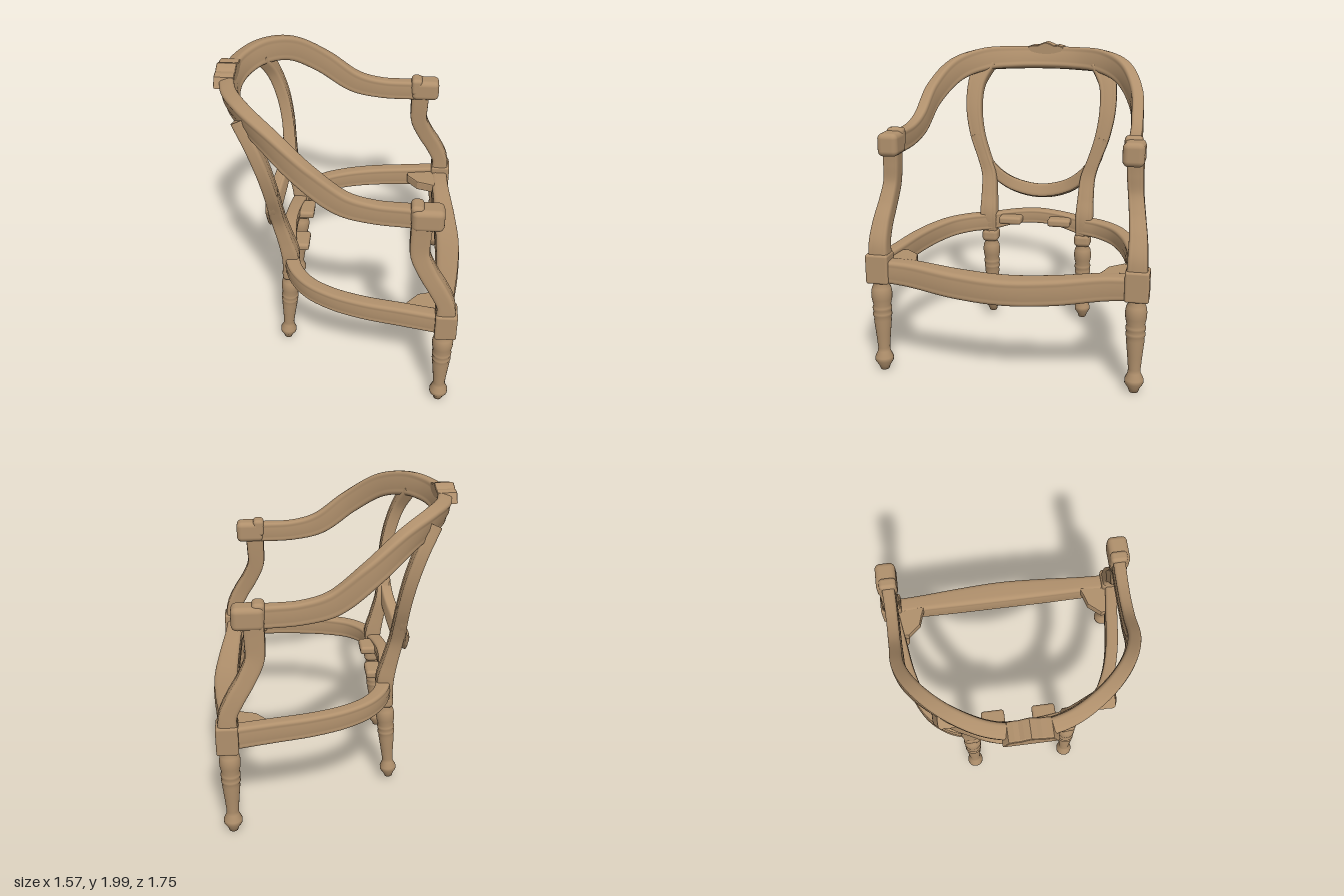
import * as THREE from 'three';
import { RoundedBoxGeometry } from 'three/addons/geometries/RoundedBoxGeometry.js';

const Y = [0, 1, 0], Z = [0, 0, 1];

// Rounded-rectangle moulding profile in a unit box, with shallow grooves on both sides
function profile(groove, n = 40) {
  const pts = [];
  for (let i = 0; i < n; i++) {
    const a = (i / n) * Math.PI * 2, c = Math.cos(a), s = Math.sin(a);
    const u = Math.sign(c) * Math.abs(c) ** 0.42, v = Math.sign(s) * Math.abs(s) ** 0.42;
    const dip = groove * Math.exp(-(((Math.abs(v) - 0.5) / 0.16) ** 2));
    pts.push([u * (1 - dip) / 2, v / 2]);
  }
  return pts;
}

// Sweeps the profile along points [x, y, z, width, height, lean]; height follows ref
function sweep(points, ref, groove = 0.1, steps = 72) {
  const path = new THREE.CatmullRomCurve3(points.map(p => new THREE.Vector3(p[0], p[1], p[2])));
  const size = new THREE.CatmullRomCurve3(
    points.map(p => new THREE.Vector3(p[3], p[4], p[5] || 0)), false, 'catmullrom', 0.5);
  const prof = profile(groove), n = prof.length, pos = [], idx = [];
  for (let i = 0; i <= steps; i++) {
    const t = i / steps, c = path.getPoint(t), T = path.getTangent(t), d = size.getPoint(t);
    const v = new THREE.Vector3(...ref);
    v.x += d.z;
    v.addScaledVector(T, -v.dot(T)).normalize();
    const u = new THREE.Vector3().crossVectors(v, T);
    for (const [a, b] of prof) {
      const p = c.clone().addScaledVector(u, a * d.x).addScaledVector(v, b * d.y);
      pos.push(p.x, p.y, p.z);
    }
  }
  for (let i = 0; i < steps; i++) {
    for (let j = 0; j < n; j++) {
      const a = i * n + j, b = i * n + (j + 1) % n;
      idx.push(a, b, a + n, b, b + n, a + n);
    }
  }
  // End caps with their own vertices
  for (const end of [0, 1]) {
    const from = end * steps * n, base = pos.length / 3;
    for (let j = 0; j < n; j++) pos.push(...pos.slice((from + j) * 3, (from + j) * 3 + 3));
    const c = path.getPoint(end);
    pos.push(c.x, c.y, c.z);
    for (let j = 0; j < n; j++) {
      const a = base + j, b = base + (j + 1) % n;
      idx.push(base + n, end ? a : b, end ? b : a);
    }
  }
  const g = new THREE.BufferGeometry();
  g.setAttribute('position', new THREE.Float32BufferAttribute(pos, 3));
  g.setIndex(idx);
  g.computeVertexNormals();
  return g;
}

// Appends the mirror image of a half path that ends on the centre line
const mirrored = half => [
  ...half, ...half.slice(0, -1).reverse().map(p => [p[0], p[1], -p[2], ...p.slice(3)])];
const side = (points, s) => points.map(p => [p[0], p[1], p[2] * s, ...p.slice(3)]);

export function createModel() {
  const chair = new THREE.Group();
  chair.name = 'armchairFrame';
  const wood = new THREE.MeshStandardMaterial({ color: 0xb0906c });
  wood.name = 'wood';

  const add = (name, geometry, x = 0, y = 0, z = 0) => {
    const m = new THREE.Mesh(geometry, wood);
    m.name = name;
    m.position.set(x, y, z);
    chair.add(m);
    return m;
  };
  const block = (name, w, h, d, x, y, z, r = 0.02) =>
    add(name, new RoundedBoxGeometry(w, h, d, 3, r), x, y, z);

  // Arms and crest in one continuous rail
  add('armAndCrestRail', sweep(mirrored([
    [0.56, 1.452, 0.75, 0.09, 0.14], [0.4, 1.452, 0.738, 0.085, 0.14],
    [0.2, 1.462, 0.73, 0.08, 0.14], [0.02, 1.51, 0.722, 0.08, 0.15],
    [-0.2, 1.675, 0.692, 0.085, 0.155], [-0.4, 1.82, 0.585, 0.09, 0.16, -0.1],
    [-0.56, 1.878, 0.42, 0.095, 0.16, -0.25], [-0.67, 1.885, 0.22, 0.1, 0.155, -0.3],
    [-0.705, 1.885, 0, 0.1, 0.15, -0.3]]), Y, 0.12, 160));

  // Carved crest ornament
  const crest = new THREE.Shape([
    [-0.15, -0.04], [0.15, -0.04], [0.12, 0.012], [0.09, 0.02], [0.06, 0.018], [0.035, 0.03],
    [0, 0.042], [-0.035, 0.03], [-0.06, 0.018], [-0.09, 0.02], [-0.12, 0.012]
  ].map(p => new THREE.Vector2(...p)));
  const crestGeo = new THREE.ExtrudeGeometry(crest, {
    depth: 0.1, bevelThickness: 0.012, bevelSize: 0.006, bevelSegments: 2 });
  crestGeo.rotateY(Math.PI / 2);
  add('crestOrnament', crestGeo, -0.776, 1.95, 0);

  // Lower arc of the oval back, bowed backwards
  add('ovalBackArc', sweep(mirrored([
    [-0.425, 1.36, 0.448, 0.08, 0.08], [-0.42, 1.2, 0.402, 0.08, 0.08],
    [-0.435, 1.08, 0.315, 0.085, 0.08], [-0.465, 0.99, 0.19, 0.095, 0.09],
    [-0.485, 0.947, 0, 0.1, 0.095]]), [1, 0.35, 0], 0.08, 110));

  // Curved seat rail around sides and back
  add('seatRail', sweep(mirrored([
    [0.66, 0.69, 0.805, 0.09, 0.15], [0.4, 0.7, 0.765, 0.09, 0.145],
    [0.15, 0.708, 0.725, 0.09, 0.14], [-0.05, 0.716, 0.665, 0.09, 0.135],
    [-0.2, 0.726, 0.58, 0.09, 0.13], [-0.295, 0.735, 0.46, 0.095, 0.125],
    [-0.335, 0.745, 0.33, 0.1, 0.12], [-0.365, 0.78, 0.15, 0.09, 0.1],
    [-0.375, 0.79, 0, 0.09, 0.1]]), Y, 0.12, 150));

  // Bowed front seat rail
  add('frontSeatRail', sweep(mirrored([
    [0.658, 0.675, 0.78, 0.12, 0.145], [0.665, 0.665, 0.6, 0.125, 0.155],
    [0.69, 0.63, 0.3, 0.15, 0.165], [0.703, 0.615, 0, 0.165, 0.165]]), Y, 0.08, 90));

  // Turned leg profile, radius and height
  const legProfile = [
    [0, 0], [0.028, 0], [0.036, 0.025], [0.058, 0.06], [0.058, 0.085], [0.04, 0.125],
    [0.038, 0.15], [0.046, 0.24], [0.056, 0.34], [0.053, 0.355], [0.06, 0.37], [0.06, 0.385],
    [0.055, 0.395], [0.061, 0.41], [0.061, 0.425], [0.055, 0.44], [0.064, 0.48],
    [0.066, 0.52], [0.06, 0.555], [0.046, 0.58], [0.05, 0.62], [0, 0.62]
  ].map(p => new THREE.Vector2(...p));
  const legGeo = new THREE.LatheGeometry(legProfile, 32);

  for (const s of [1, -1]) {
    // Front leg, corner block, arm post and arm knob
    add('frontLeg', legGeo, 0.66, 0.005, 0.8 * s);
    block('frontCornerBlock', 0.135, 0.19, 0.145, 0.666, 0.695, 0.803 * s, 0.015);
    add('armPost', sweep(side([
      [0.66, 0.74, 0.8, 0.13, 0.13], [0.655, 0.85, 0.8, 0.115, 0.12],
      [0.605, 0.96, 0.795, 0.115, 0.11], [0.535, 1.08, 0.78, 0.115, 0.1],
      [0.485, 1.2, 0.765, 0.12, 0.095], [0.482, 1.32, 0.758, 0.125, 0.1],
      [0.487, 1.44, 0.755, 0.13, 0.105]], s), Z, 0.06));
    block('armKnob', 0.19, 0.145, 0.13, 0.517, 1.456, 0.75 * s, 0.035);
    block('armKnobCollar', 0.075, 0.12, 0.11, 0.455, 1.486, 0.74 * s, 0.025);

    // Back leg with its square top and the stile rising into the crest
    const leg = add('backLeg', legGeo, -0.385, 0.04, 0.335 * s);
    leg.scale.set(0.92, 0.95, 0.92);
    leg.rotation.z = -0.07;
    block('backLegBlock', 0.115, 0.09, 0.115, -0.34, 0.64, 0.335 * s, 0.03);
    add('backStile', sweep(side([
      [-0.345, 0.64, 0.338, 0.1, 0.1], [-0.338, 0.8, 0.345, 0.115, 0.12],
      [-0.365, 0.93, 0.348, 0.1, 0.11], [-0.4, 1.08, 0.358, 0.09, 0.1],
      [-0.413, 1.2, 0.396, 0.09, 0.09], [-0.427, 1.36, 0.448, 0.085, 0.1],
      [-0.46, 1.54, 0.478, 0.085, 0.11], [-0.515, 1.71, 0.472, 0.085, 0.12],
      [-0.585, 1.86, 0.42, 0.09, 0.16]], s), Z, 0.1));

    // Corner braces inside the seat
    block('backCornerBrace', 0.11, 0.055, 0.16, -0.285, 0.775, 0.175 * s);
    const brace = new THREE.Shape([
      [0.62, 0.58], [0.57, 0.6], [0.5, 0.62], [0.43, 0.7], [0.43, 0.76], [0.62, 0.78]
    ].map(p => new THREE.Vector2(...p)));
    const braceGeo = new THREE.ExtrudeGeometry(brace, {
      depth: 0.05, bevelThickness: 0.01, bevelSize: 0.01, bevelSegments: 2 });
    braceGeo.rotateX(Math.PI / 2);
    const b = add('frontCornerBrace', braceGeo, 0, 0.73, 0);
    if (s < 0) {
      // Turn over about the x axis to mirror the symmetric plate
      b.rotation.x = Math.PI;
      b.position.y = 0.68;
    }
  }
  return chair;
}
